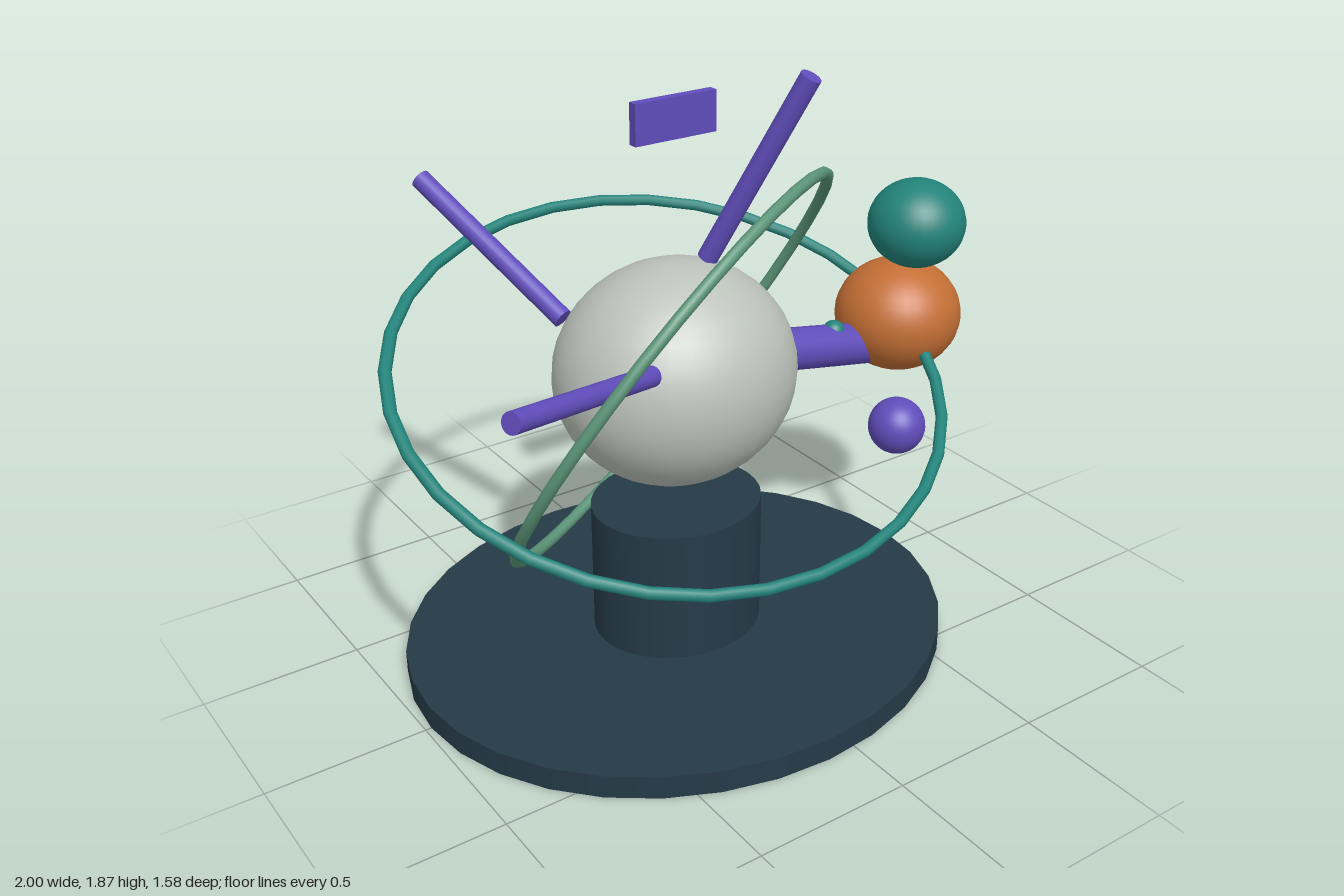
import * as THREE from 'three';

const mat = (name, color) => {
  const m = new THREE.MeshStandardMaterial({ color });
  m.name = name;
  return m;
};

export function createModel() {
  const slate = mat('dark slate', 0x253a47);
  const stone = mat('pale grey', 0xbcc3bb);
  const orange = mat('burnt orange', 0xc46f35);
  const teal = mat('teal', 0x22837a);
  const sage = mat('sage green', 0x5c9679);
  const violet = mat('violet', 0x604dbb);

  const model = new THREE.Group();
  model.name = 'orbitSculpture';
  const cx = -0.096; // axis of stand and core
  const stretch = 1.118; // widening along x

  const add = (name, geometry, material, x, y, z) => {
    const mesh = new THREE.Mesh(geometry, material);
    mesh.name = name;
    mesh.position.set(x, y, z);
    model.add(mesh);
    return mesh;
  };
  const ball = (name, material, pos, rx, ry = rx, rz = rx) =>
    add(name, new THREE.SphereGeometry(1, 32, 20), material, ...pos).scale.set(rx, ry, rz);
  const rod = (name, from, to, radius) => {
    const a = new THREE.Vector3(...from), b = new THREE.Vector3(...to);
    const dir = b.clone().sub(a);
    const mid = a.clone().add(b).multiplyScalar(0.5);
    const mesh = add(name, new THREE.CylinderGeometry(radius, radius, dir.length(), 20), violet, mid.x, mid.y, mid.z);
    mesh.quaternion.setFromUnitVectors(new THREE.Vector3(0, 1, 0), dir.normalize());
  };
  const ring = (name, material, radius, y, rotation) => {
    const mesh = add(name, new THREE.TorusGeometry(radius, 0.018, 10, 32), material, cx, y, 0);
    mesh.scale.x = stretch;
    mesh.rotation.set(...rotation);
  };

  // Stand: oval base and column
  add('base', new THREE.CylinderGeometry(0.792, 0.792, 0.074, 32), slate, cx, 0.037, 0).scale.x = stretch;
  add('column', new THREE.CylinderGeometry(0.247, 0.247, 0.433, 32), slate, cx, 0.2885, 0).scale.x = stretch;

  // Core and surrounding balls
  ball('core', stone, [cx, 0.942, 0], 0.383, 0.348, 0.348);
  ball('orangeBall', orange, [0.791, 0.917, 0], 0.209, 0.187, 0.207);
  ball('tealBall', teal, [0.623, 1.34, 0.248], 0.15, 0.136, 0.149);
  ball('violetBall', violet, [0.403, 0.799, 0.45], 0.086);
  ball('tealBead', teal, [0.52, 0.917, 0], 0.036);

  // Tilted rings
  ring('tealRing', teal, 0.79, 0.923, [Math.PI / 2 + 0.433, 0, 0]);
  ring('sageRing', sage, 0.666, 0.949, [0.615, 0.457, 0.51]);

  // Rods reaching out from the core
  rod('upperRod', [0.022, 1.28, 0], [0.2, 1.855, 0.245], 0.032);
  rod('backRod', [-0.345, 1.09, -0.235], [-0.54, 1.428, -0.75], 0.032);
  rod('sideRod', [-0.335, 1.08, 0.24], [-0.917, 1.21, 0.5], 0.031);
  rod('connector', [0.26, 0.914, 0], [0.72, 0.83, 0], 0.069);

  // Floating plate
  add('plate', new THREE.BoxGeometry(0.275, 0.123, 0.03), violet, cx, 1.73, 0);

  return model;
}
